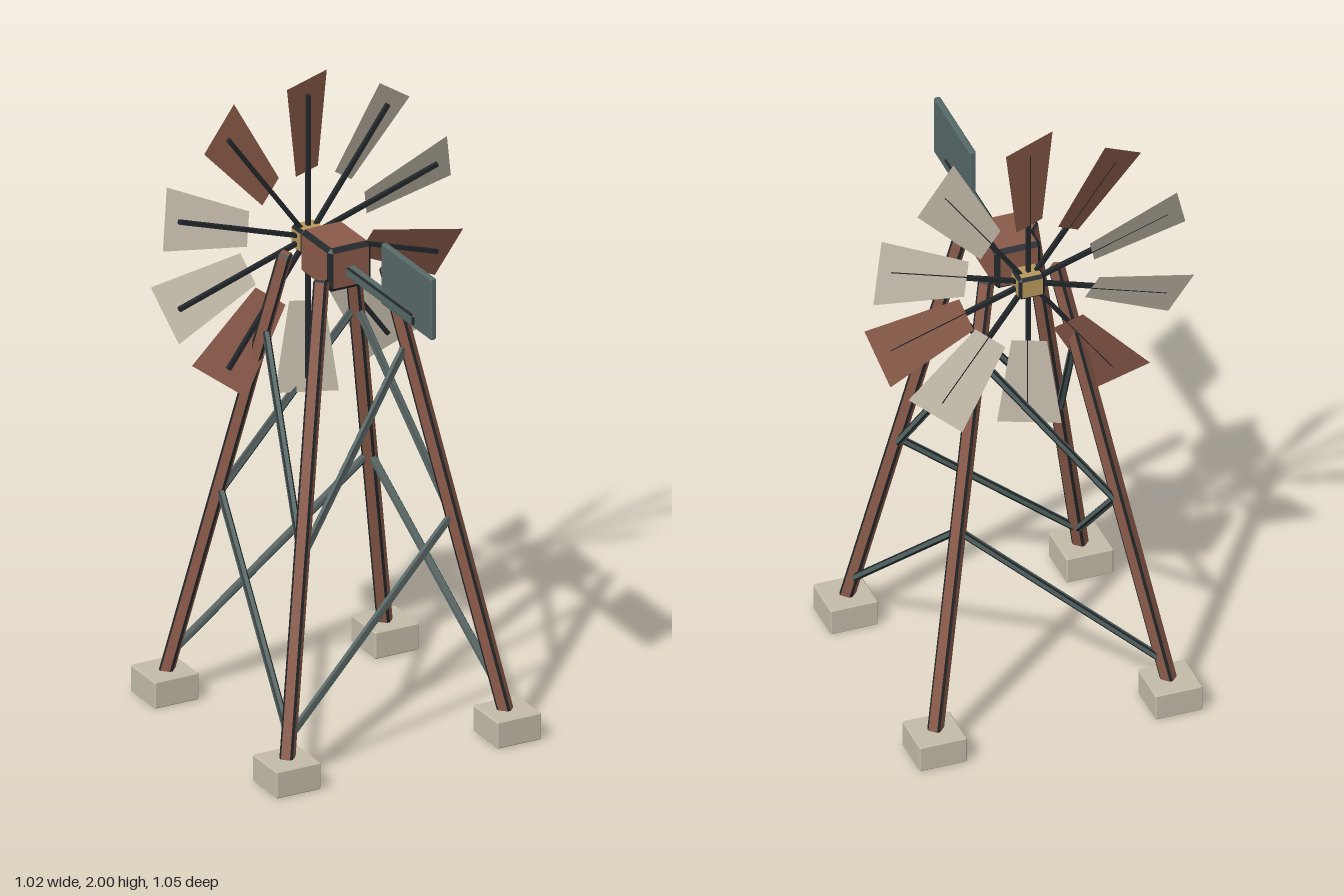
import * as THREE from 'three';
import { ConvexGeometry } from 'three/addons/geometries/ConvexGeometry.js';

const flat = (name, color, side = THREE.FrontSide) => {
  const m = new THREE.MeshStandardMaterial({ color, side });
  m.name = name;
  return m;
};

// Box with every edge cut at 45 degrees; group 0 holds the faces, group 1 the cut edges
function chamferBox(w, h, d, c) {
  const pts = [];
  for (const x of [-1, 1]) for (const y of [-1, 1]) for (const z of [-1, 1]) {
    const X = x * w / 2, Y = y * h / 2, Z = z * d / 2;
    pts.push(
      new THREE.Vector3(X, Y - y * c, Z - z * c),
      new THREE.Vector3(X - x * c, Y, Z - z * c),
      new THREE.Vector3(X - x * c, Y - y * c, Z));
  }
  const hull = new ConvexGeometry(pts);
  const pos = hull.attributes.position.array, nor = hull.attributes.normal.array;
  const faces = [], edges = [];
  for (let i = 0; i < pos.length; i += 9) {
    const isFace = Math.max(...nor.slice(i, i + 3).map(Math.abs)) > 0.99;
    (isFace ? faces : edges).push(i);
  }
  const order = [...faces, ...edges];
  const sorted = (src) => new THREE.Float32BufferAttribute(order.flatMap((i) => [...src.slice(i, i + 9)]), 3);
  const geo = new THREE.BufferGeometry();
  geo.setAttribute('position', sorted(pos));
  geo.setAttribute('normal', sorted(nor));
  geo.addGroup(0, faces.length * 3, 0);
  geo.addGroup(faces.length * 3, edges.length * 3, 1);
  return geo;
}

export function createModel() {
  const rust = flat('rust', 0x8a5a49, THREE.DoubleSide);
  const cream = flat('cream', 0xc8bfae, THREE.DoubleSide);
  const stone = flat('stone', 0xc2bba8);
  const steel = flat('steel', 0x566967);
  const brass = flat('brass', 0xb8985a);
  const dark = flat('darkEdge', 0x22272a);

  const model = new THREE.Group();
  model.name = 'windPump';

  const add = (name, geo, mat, x = 0, y = 0, z = 0, parent = model) => {
    const m = new THREE.Mesh(geo, mat);
    m.name = name;
    m.position.set(x, y, z);
    parent.add(m);
    return m;
  };

  // Square bar with dark edges between two points
  const bar = (name, a, b, size, chamfer, mat) => {
    const mid = a.clone().add(b).multiplyScalar(0.5);
    const geo = chamferBox(size, size, a.distanceTo(b), chamfer);
    add(name, geo, [mat, dark], mid.x, mid.y, mid.z).lookAt(b);
  };

  // Centre line of a leg at height y; sx and sz choose the corner
  const towerZ = -0.075;
  const legAt = (sx, sz, y) => {
    const r = THREE.MathUtils.mapLinear(y, 0.06, 1.485, 0.375, 0.111);
    return new THREE.Vector3(sx * r, y, towerZ + sz * r);
  };

  // Legs and footings
  for (const sx of [-1, 1]) for (const sz of [-1, 1]) {
    add('footing', chamferBox(0.151, 0.088, 0.151, 0.004), [stone, stone], sx * 0.375, 0.044, towerZ + sz * 0.375);
    bar('leg', legAt(sx, sz, 0.06), legAt(sx, sz, 1.488), 0.042, 0.007, rust);
  }

  // Two diagonal braces on each side of the tower
  for (const [y0, y1] of [[0.145, 0.705], [0.67, 1.245]]) {
    for (const s of [-1, 1]) {
      bar('crossBrace', legAt(-1, s, y0), legAt(1, s, y1), 0.022, 0.005, steel);
      bar('sideBrace', legAt(s, 1, y0), legAt(s, -1, y1), 0.022, 0.005, steel);
    }
  }

  // Gearbox and tail
  add('gearbox', chamferBox(0.148, 0.142, 0.187, 0.014), [rust, dark], 0, 1.495, towerZ);
  add('tailBoom', chamferBox(0.032, 0.035, 0.42, 0.006), [steel, dark], 0, 1.483, 0.215);
  add('tailVane', chamferBox(0.02, 0.2, 0.305, 0.004), [steel, steel], 0, 1.556, 0.372);

  // Wheel
  const wheel = new THREE.Group();
  wheel.name = 'wheel';
  wheel.position.set(0, 1.493, -0.247);
  model.add(wheel);
  add('hub', chamferBox(0.084, 0.077, 0.077, 0.01), [brass, dark], 0, 0, 0.002, wheel);

  // Blade sheet: a trapezoid widening outwards
  const bladeGeo = new THREE.ShapeGeometry(new THREE.Shape([
    new THREE.Vector2(-0.053, 0.21), new THREE.Vector2(0.053, 0.21),
    new THREE.Vector2(0.096, 0.508), new THREE.Vector2(-0.096, 0.508)]));
  const spokeGeo = new THREE.BoxGeometry(0.013, 0.462, 0.013);

  for (let i = 0; i < 10; i++) {
    const arm = new THREE.Group();
    arm.name = 'wheelArm';
    arm.rotation.z = -i * Math.PI / 5;
    wheel.add(arm);
    add('spoke', spokeGeo, dark, 0, 0.231, 0.001, arm);
    add('blade', bladeGeo, i % 3 === 0 ? rust : cream, 0, 0, -0.007, arm).rotation.y = 0.4;
  }

  return model;
}
